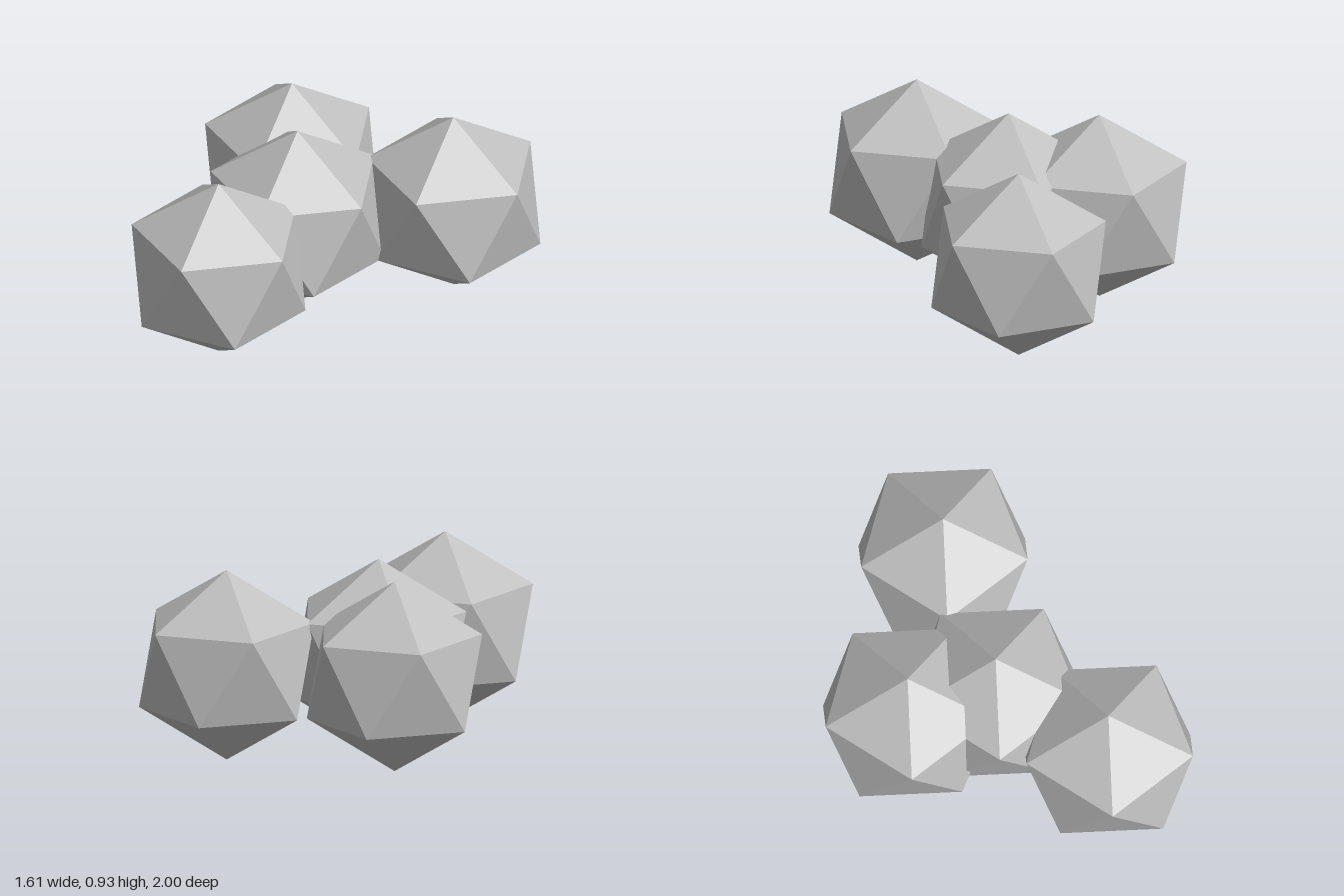
import * as THREE from 'three';

export function createModel() {
  const model = new THREE.Group();
  model.name = 'boulderCluster';

  const stone = new THREE.MeshStandardMaterial({ color: 0xbfbfbf, flatShading: true });
  stone.name = 'stone grey';

  // Icosahedron tipped so it stands on a point, with an upper ring corner facing +x
  const radius = 0.467;
  const golden = (1 + Math.sqrt(5)) / 2;
  const boulder = new THREE.IcosahedronGeometry(radius, 0);
  boulder.rotateZ(-Math.atan(1 / golden));

  // Four equal boulders overlapping one another: name, x, z
  const boulders = [
    ['frontBoulder', -0.018, 0.603],
    ['middleBoulder', -0.072, -0.004],
    ['backLeftBoulder', 0.385, -0.603],
    ['backRightBoulder', -0.386, -0.3],
  ];
  for (const [name, x, z] of boulders) {
    const mesh = new THREE.Mesh(boulder, stone);
    mesh.name = name;
    mesh.position.set(x, radius, z);
    model.add(mesh);
  }
  return model;
}
